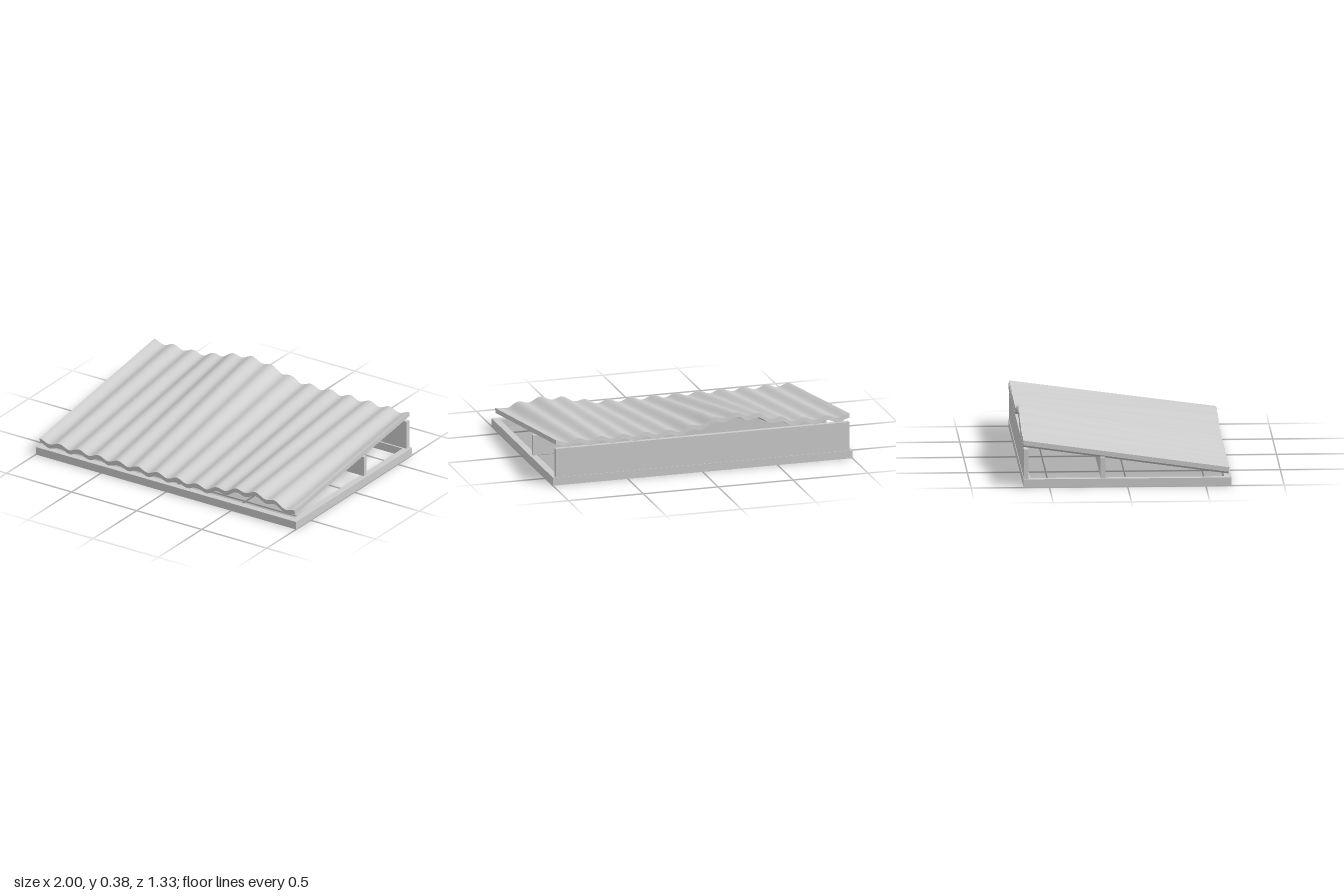
import * as THREE from 'three';

const material = new THREE.MeshStandardMaterial({ color: 0xcccccc });

function box(name, w, h, d, x, y, z) {
  const mesh = new THREE.Mesh(new THREE.BoxGeometry(w, h, d), material);
  mesh.name = name;
  mesh.position.set(x, y, z);
  return mesh;
}

// Smooth hump of height 1 around a centre
const hump = (x, centre, halfWidth) => {
  const t = (x - centre) / halfWidth;
  return Math.abs(t) < 1 ? Math.cos(t * Math.PI / 2) ** 2 : 0;
};

// Corrugated sheet: a slab whose two end profiles differ and are joined by straight lines
function roofSheet() {
  const half = 0.98, waves = 13, thick = 0.03, zFront = 0.652, zBack = -0.661;
  const geometry = new THREE.BoxGeometry(2 * half, 1, 1, waves * 8, 1, 6);
  const pos = geometry.attributes.position;
  for (let i = 0; i < pos.count; i++) {
    const x = pos.getX(i), under = 0.5 - pos.getY(i), t = 0.5 - pos.getZ(i);
    const ripple = 0.0125 * Math.cos((x + half) / (2 * half) * waves * Math.PI * 2);
    const front = 0.103 + 0.058 * hump(x, 0.66, 0.42);
    const back = 0.289 + 0.075 * hump(x, -0.23, 0.45);
    pos.setY(i, THREE.MathUtils.lerp(front, back, t) + ripple - under * thick);
    pos.setZ(i, THREE.MathUtils.lerp(zFront, zBack, t) - under * 0.0045);
  }
  geometry.computeVertexNormals();
  const mesh = new THREE.Mesh(geometry, material);
  mesh.name = 'corrugatedRoofSheet';
  return mesh;
}

export function createModel() {
  const model = new THREE.Group();
  model.name = 'corrugatedLeanToRoof';

  // Rectangular base frame
  const bar = 0.045, h = 0.053, depth = 1.33;
  const frame = new THREE.Group();
  frame.name = 'baseFrame';
  for (const s of [1, -1]) {
    frame.add(box(s > 0 ? 'frontBar' : 'backBar', 2, h, bar, 0, h / 2, s * (depth - bar) / 2));
    frame.add(box(s > 0 ? 'leftBar' : 'rightBar', bar, h, depth - 2 * bar, s * (1 - bar / 2), h / 2, 0));
  }
  model.add(frame);

  // Upright boards carrying the sheet
  const board = (name, z, top) => box(name, 1.96, top - h, 0.03, 0, (top + h) / 2, z);
  model.add(board('backBoard', -0.647, 0.243), board('middleBoard', -0.157, 0.187));

  model.add(roofSheet());
  return model;
}
